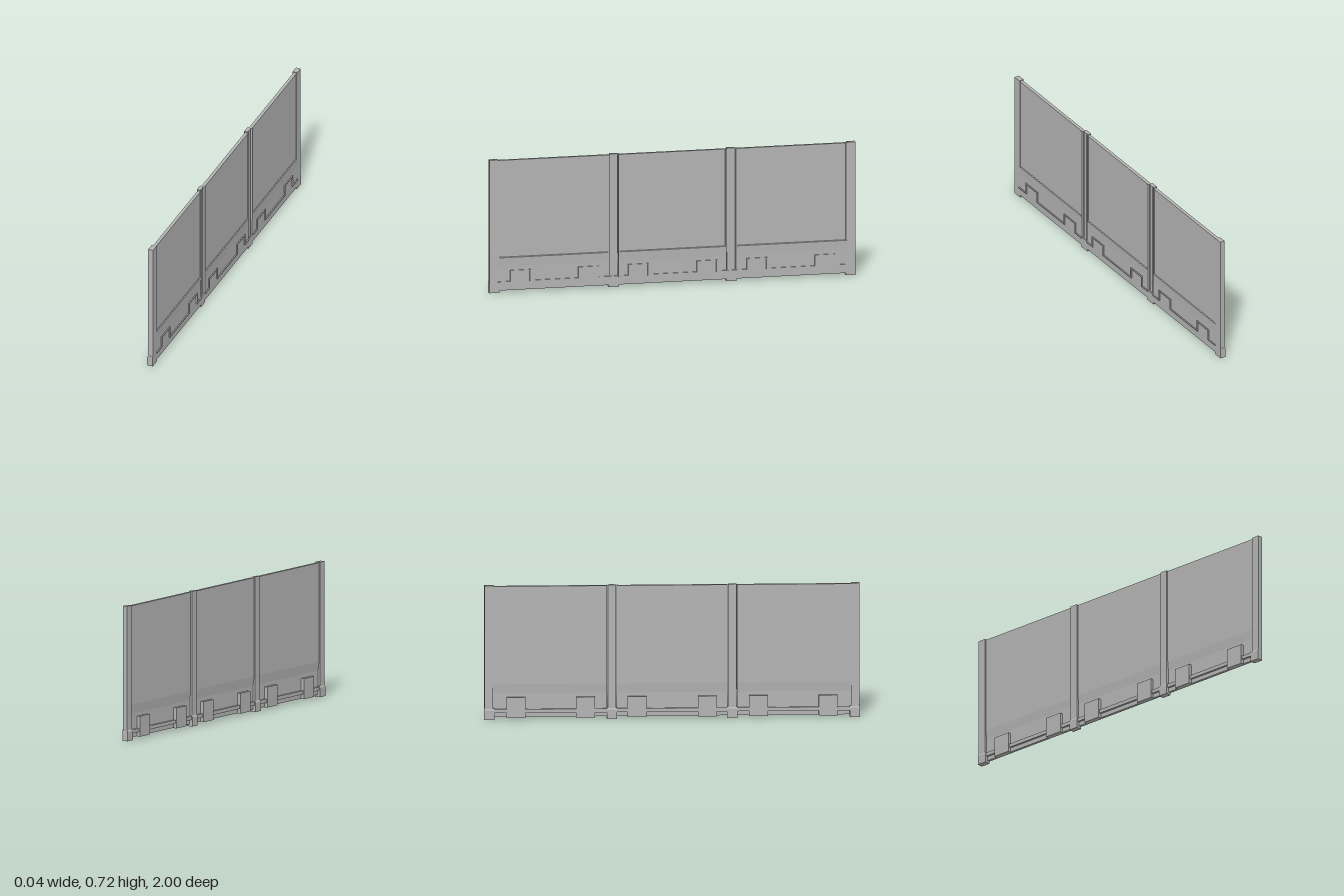
import * as THREE from 'three';

export function createModel() {
  const group = new THREE.Group();
  const grey = new THREE.MeshStandardMaterial({ color: 0xb4b4b4 });

  const add = (name, geometry) => {
    const mesh = new THREE.Mesh(geometry, grey);
    mesh.name = name;
    group.add(mesh);
  };
  // box given by its limits on each axis
  const box = (name, x0, x1, y0, y1, z0, z1) => {
    const g = new THREE.BoxGeometry(x1 - x0, y1 - y0, z1 - z0);
    g.translate((x0 + x1) / 2, (y0 + y1) / 2, (z0 + z1) / 2);
    add(name, g);
  };
  // x-y cross-section drawn out from z0 to z1
  const prism = (name, points, z0, z1) => {
    const shape = new THREE.Shape(points.map(([x, y]) => new THREE.Vector2(x, y)));
    const g = new THREE.ExtrudeGeometry(shape, { depth: z1 - z0, bevelEnabled: false });
    g.translate(0, 0, z0);
    add(name, g);
  };

  // wall panels with a ledge and a set-back lower band
  const section = [
    [-0.004, 0.012], [0.011, 0.012], [0.011, 0.14], [0.013, 0.19], [0.009, 0.193],
    [0.009, 0.72], [-0.009, 0.72], [-0.009, 0.19], [-0.004, 0.14],
  ];
  const panels = [[-0.952, -0.345], [-0.295, 0.295], [0.345, 0.952]];
  const blockCentres = [-0.83, -0.46, -0.187, 0.187, 0.46, 0.83];
  const halfBlock = 0.05, low = 0.055, high = 0.12, line = 0.006;

  for (const [z0, z1] of panels) {
    prism('panel', section, z0, z1);
    // raised edge strips beside the posts
    box('panelEdge', 0.004, 0.0125, 0.19, 0.72, z0, z0 + 0.008);
    box('panelEdge', 0.004, 0.0125, 0.19, 0.72, z1 - 0.008, z1);
    // pipe on the outer side
    box('pipe', -0.015, -0.003, 0.035, 0.055, z0, z1);

    // stepped trim line on the inner side, rising around each block
    let z = z0;
    for (const c of blockCentres.filter((b) => b > z0 && b < z1)) {
      const a = c - halfBlock, b = c + halfBlock;
      box('trimLow', 0.010, 0.017, low, low + line, z, a);
      box('trimRise', 0.010, 0.017, low, high, a - line, a);
      box('trimHigh', 0.010, 0.017, high - line, high, a, b);
      box('trimRise', 0.010, 0.017, low, high, b, b + line);
      z = b;
    }
    box('trimLow', 0.010, 0.017, low, low + line, z, z1);
  }

  // junction blocks on the pipe
  for (const c of blockCentres) {
    box('block', -0.022, -0.003, 0.01, high, c - halfBlock, c + halfBlock);
  }

  // posts and their chamfered bases
  const base = (xr) => [[-0.02, 0], [xr, 0], [xr, 0.06], [-0.014, 0.06], [-0.02, 0.05]];
  for (const s of [-1, 1]) {
    const span = (a, b) => (s > 0 ? [a, b] : [-b, -a]);
    box('endPost', -0.015, 0.012, 0.03, 0.724, ...span(0.952, 0.998));
    prism('endPostBase', base(0.012), ...span(0.945, 1));
    box('middlePost', -0.015, 0.003, 0.03, 0.724, ...span(0.298, 0.342));
    box('middlePostRib', 0.002, 0.007, 0.02, 0.724, ...span(0.308, 0.332));
    prism('middlePostBase', base(0.012), ...span(0.293, 0.347));
  }
  return group;
}
